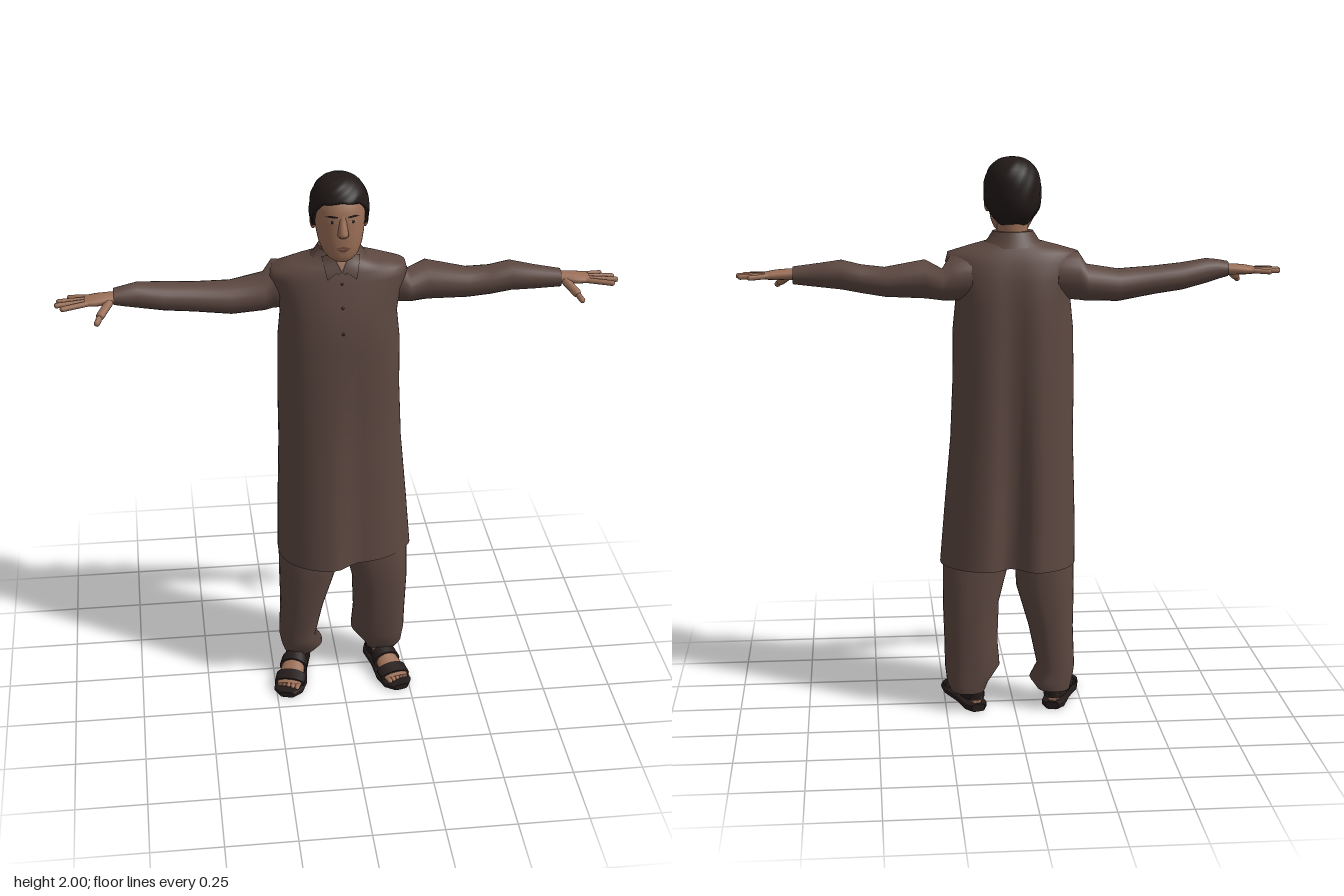
import * as THREE from 'three';

const paint = (name, color, side = THREE.FrontSide) =>
  Object.assign(new THREE.MeshStandardMaterial({ color, side }), { name });
const cloth = paint('brown cloth', 0x5c4740);
const fold = paint('collar cloth', 0x55413a, THREE.DoubleSide);
const seam = paint('dark seam', 0x3b2d29);
const skin = paint('skin', 0x9a6e56, THREE.DoubleSide);
const hairMat = paint('black hair', 0x211918, THREE.DoubleSide);
const leather = paint('dark leather', 0x231b1a);
const lipMat = paint('lips', 0x774d41, THREE.DoubleSide);
const eyeMat = paint('eye white', 0xa08c80, THREE.DoubleSide);

const add = (parent, name, geo, mat) => {
  const m = new THREE.Mesh(geo, mat);
  m.name = name;
  parent.add(m);
  return m;
};

function finish(pos, idx) {
  const g = new THREE.BufferGeometry();
  g.setAttribute('position', new THREE.Float32BufferAttribute(pos, 3));
  g.setIndex(idx);
  g.computeVertexNormals();
  return g;
}

// Loft along an axis; ring = [position, centre1, radius1, centre2, radius2]
function loft(axis, rings, { n = 24, e = 2, s = 1, warp, openStart = false } = {}) {
  const pos = [], idx = [];
  const put = (p, a, b) => {
    const v = axis === 'y' ? [a, p, b] : axis === 'x' ? [p, a, b] : [a, b, p];
    const w = new THREE.Vector3(v[0] * s, v[1], v[2]);
    if (warp) warp(w);
    pos.push(w.x, w.y, w.z);
  };
  const pow = (v) => Math.sign(v) * Math.abs(v) ** (2 / e);
  const putRing = ([p, c1, r1, c2, r2]) => {
    for (let j = 0; j < n; j++) {
      const a = (j / n) * Math.PI * 2;
      put(p, c1 + r1 * pow(Math.cos(a)), c2 + r2 * pow(Math.sin(a)));
    }
  };
  rings.forEach(putRing);
  for (let i = 0; i < rings.length - 1; i++)
    for (let j = 0; j < n; j++) {
      const a = i * n + j, b = i * n + ((j + 1) % n);
      idx.push(a, a + n, b, b, a + n, b + n);
    }
  // end caps have their own corners so the rims stay sharp
  [rings[0], rings[rings.length - 1]].forEach((r, k) => {
    if (openStart && k === 0) return;
    const o = pos.length / 3;
    putRing(r);
    put(r[0], r[1], r[3]);
    for (let j = 0; j < n; j++) {
      const a = o + j, b = o + ((j + 1) % n);
      k ? idx.push(o + n, b, a) : idx.push(o + n, a, b);
    }
  });
  // turn the faces outward, judged by the volume about the first ring's centre
  const [p, c1, , c2] = rings[0];
  const base = new THREE.Vector3(...(axis === 'y' ? [c1, p, c2] : axis === 'x' ? [p * s, c1, c2] : [c1 * s, c2, p]));
  const P = (i) => new THREE.Vector3().fromArray(pos, i * 3).sub(base);
  let vol = 0;
  for (let i = 0; i < idx.length; i += 3) vol += P(idx[i]).dot(P(idx[i + 1]).cross(P(idx[i + 2])));
  if (vol < 0) for (let i = 0; i < idx.length; i += 3) [idx[i], idx[i + 1]] = [idx[i + 1], idx[i]];
  return finish(pos, idx);
}

// Front z of a vertical loft at (x, y)
function frontZ(rings, e, x, y) {
  let i = 0;
  while (i < rings.length - 2 && rings[i + 1][0] < y) i++;
  const t = (y - rings[i][0]) / (rings[i + 1][0] - rings[i][0]);
  const [, cx, rx, cz, rz] = rings[i].map((v, k) => v + (rings[i + 1][k] - v) * t);
  return cz + rz * (1 - Math.min(1, Math.abs((x - cx) / rx)) ** e) ** (1 / e);
}

// Four-cornered patch that hugs the front of a loft
function patch(rings, e, [a, b, c, d], off) {
  const pos = [], idx = [], n = 6;
  for (let i = 0; i <= n; i++)
    for (let j = 0; j <= n; j++) {
      const u = i / n, v = j / n;
      const [x, y] = [0, 1].map((k) => (a[k] * (1 - u) + b[k] * u) * (1 - v) + (d[k] * (1 - u) + c[k] * u) * v);
      pos.push(x, y, frontZ(rings, e, x, y) + off);
      const o = i * (n + 1) + j;
      if (i < n && j < n) idx.push(o, o + n + 1, o + 1, o + 1, o + n + 1, o + n + 2);
    }
  return finish(pos, idx);
}

const span = (y, rx, back, front, cx = 0) => [y, cx, rx, (front + back) / 2, (front - back) / 2];

const torso = [
  span(0.548, 0.245, -0.194, 0.205, 0.02), span(0.75, 0.235, -0.184, 0.192, 0.013), span(1.0, 0.22, -0.172, 0.175, 0.005),
  span(1.2, 0.216, -0.162, 0.166), span(1.4, 0.213, -0.154, 0.16), span(1.5, 0.203, -0.148, 0.15),
  span(1.58, 0.215, -0.137, 0.132), span(1.64, 0.238, -0.115, 0.115), span(1.672, 0.23, -0.1, 0.106),
  span(1.692, 0.16, -0.088, 0.098), span(1.71, 0.09, -0.07, 0.09), span(1.74, 0.07, -0.055, 0.075),
];
const head = [
  span(1.725, 0.026, 0.06, 0.125), span(1.732, 0.043, 0.03, 0.133), span(1.75, 0.061, 0.0, 0.138),
  span(1.78, 0.074, -0.04, 0.141), span(1.82, 0.082, -0.065, 0.141), span(1.86, 0.086, -0.075, 0.137),
  span(1.9, 0.086, -0.08, 0.138), span(1.94, 0.078, -0.07, 0.116), span(1.975, 0.05, -0.03, 0.07),
];

// Cap of hair whose lower edge follows the hairline, sideburns and nape
function hairCap() {
  const line = [[0, 1.933], [0.7, 1.923], [1.1, 1.885], [1.35, 1.83], [1.6, 1.86], [1.9, 1.82], [2.3, 1.77], [3.15, 1.76]];
  const edge = (a) => {
    const i = Math.max(1, line.findIndex((p) => p[0] >= a));
    const [p, q] = [line[i - 1], line[i]];
    return p[1] + ((q[1] - p[1]) * (a - p[0])) / (q[0] - p[0]);
  };
  const pos = [], idx = [], n = 56, rows = 14;
  for (let i = 0; i <= rows + 1; i++)
    for (let j = 0; j < n; j++) {
      const a = (j / n) * Math.PI * 2 - Math.PI;
      const t = Math.min(i, rows) / rows;
      const y = 2 - (2 - edge(Math.abs(a))) * t ** 1.8;
      const r = Math.max(0, 1 - Math.abs((y - 1.875) / 0.125) ** 2.4) ** (1 / 2.4);
      const k = r * (1.01 + 0.015 * Math.sin(a * 9 + i * 1.3)) * (i > rows ? 0.82 : 1);
      pos.push(0.1 * k * Math.sin(a), y, 0.022 + 0.113 * k * Math.cos(a));
      const b = i * n + j, c = i * n + ((j + 1) % n);
      if (i <= rows) idx.push(b, b + n, c, c, b + n, c + n);
    }
  return finish(pos, idx);
}

function rod(parent, name, mat, from, to, r) {
  const a = new THREE.Vector3(...from), b = new THREE.Vector3(...to);
  const m = add(parent, name, new THREE.CapsuleGeometry(r, a.distanceTo(b), 4, 8), mat);
  m.position.copy(a).add(b).multiplyScalar(0.5);
  m.quaternion.setFromUnitVectors(new THREE.Vector3(0, 1, 0), b.sub(a).normalize());
}

function ball(parent, name, mat, p, size) {
  const m = add(parent, name, new THREE.SphereGeometry(1, 14, 10), mat);
  m.position.set(...p);
  m.scale.set(...size);
}

export function createModel() {
  const g = new THREE.Group();
  g.name = 'standing man';

  // Long shirt, open at the hem: a groove down the spine and a shallower left half
  const { clamp, smoothstep } = THREE.MathUtils;
  const folds = (v) => {
    const k = clamp((1.45 - v.y) / 0.9, 0, 1);
    const spine = 0.02 * clamp((1.65 - v.y) / 0.15, 0, 1);
    const dip = Math.exp(-(((v.x - 0.008) / 0.05) ** 2));
    const half = smoothstep(v.x, -0.03, 0.07);
    const push = v.z < 0 ? (spine + 0.05 * k) * dip + k * (0.025 * half - 0.008) : -k * (0.01 * dip + 0.055 * half);
    v.z += push * Math.min(1, Math.abs(v.z) / 0.12);
  };
  add(g, 'long shirt', loft('y', torso, { n: 64, e: 2.3, warp: folds, openStart: true }), cloth);
  for (const y of [1.47, 1.56, 1.64])
    ball(g, 'button', seam, [0, y, frontZ(torso, 2.3, 0, y)], [0.005, 0.005, 0.003]);
  add(g, 'open neck', patch(torso, 2.3, [[-0.026, 1.735], [0, 1.685], [0, 1.685], [0.026, 1.735]], 0.005), skin);
  add(g, 'collar band', loft('y', [span(1.692, 0.12, -0.092, 0.09), span(1.715, 0.09, -0.078, 0.086),
    span(1.745, 0.071, -0.06, 0.068)], { n: 32 }), fold);
  for (const s of [-1, 1]) {
    add(g, 'collar shadow', patch(torso, 2.3, [[s * 0.028, 1.735], [s * 0.001, 1.68], [s * 0.012, 1.67], [s * 0.04, 1.72]], 0.006), fold);
    add(g, 'collar flap', patch(torso, 2.3, [[s * 0.032, 1.735], [s * 0.008, 1.685], [s * 0.05, 1.655], [s * 0.066, 1.725]], 0.007), fold);
  }

  // Head and face
  add(g, 'neck', loft('y', [span(1.66, 0.058, -0.05, 0.065), span(1.74, 0.054, -0.05, 0.07), span(1.79, 0.055, -0.05, 0.08)]), skin);
  add(g, 'head', loft('y', head, { n: 40, e: 2.2 }), skin);
  add(g, 'nose', loft('y', [[1.895, 0, 0.01, 0.128, 0.009], [1.858, 0, 0.014, 0.135, 0.014],
    [1.835, 0, 0.018, 0.141, 0.022], [1.825, 0, 0.019, 0.139, 0.022], [1.818, 0, 0.013, 0.137, 0.014]], { n: 16 }), skin);
  const onFace = (name, mat, pts, off) => add(g, name, patch(head, 2.2, pts, off), mat);
  onFace('upper lip', lipMat, [[-0.027, 1.779], [0, 1.777], [0.027, 1.779], [0, 1.788]], 0.003);
  onFace('lower lip', lipMat, [[-0.023, 1.777], [0, 1.766], [0.023, 1.777], [0, 1.777]], 0.004);
  for (const s of [-1, 1]) {
    onFace('eye', eyeMat, [[s * 0.021, 1.869], [s * 0.035, 1.865], [s * 0.049, 1.87], [s * 0.034, 1.876]], 0.002);
    ball(g, 'iris', hairMat, [s * 0.034, 1.87, frontZ(head, 2.2, 0.034, 1.87)], [0.006, 0.005, 0.004]);
    onFace('eyebrow', hairMat, [[s * 0.016, 1.886], [s * 0.058, 1.886], [s * 0.042, 1.894], [s * 0.018, 1.892]], 0.003);
    ball(g, 'ear', skin, [s * 0.088, 1.842, 0.022], [0.012, 0.032, 0.02]);
  }
  add(g, 'hair', hairCap(), hairMat);

  // Sleeves
  const sleeves = {
    '-1': [[0.15, 1.59, 0.08, -0.03, 0.08], [0.225, 1.59, 0.086, -0.037, 0.08], [0.255, 1.565, 0.065, -0.034, 0.078],
      [0.37, 1.553, 0.057, -0.022, 0.07], [0.5, 1.567, 0.05, -0.008, 0.06], [0.6, 1.578, 0.048, 0, 0.06],
      [0.69, 1.594, 0.044, 0.017, 0.046], [0.73, 1.597, 0.036, 0.027, 0.04], [0.77, 1.598, 0.027, 0.032, 0.036]],
    '1': [[0.15, 1.59, 0.08, -0.03, 0.08], [0.22, 1.587, 0.08, -0.037, 0.08], [0.25, 1.563, 0.055, -0.034, 0.078],
      [0.31, 1.583, 0.068, -0.03, 0.076], [0.45, 1.572, 0.052, -0.015, 0.062], [0.53, 1.582, 0.05, -0.003, 0.058],
      [0.6, 1.597, 0.052, 0.002, 0.057], [0.68, 1.594, 0.042, 0.018, 0.045], [0.77, 1.592, 0.031, 0.032, 0.036]],
  };
  // Trouser legs
  const legs = {
    '-1': [[0.07, -0.145, 0.06, -0.045, 0.065], [0.105, -0.137, 0.078, -0.035, 0.08], [0.15, -0.155, 0.068, -0.025, 0.085],
      [0.3, -0.137, 0.081, -0.015, 0.1], [0.45, -0.117, 0.105, -0.003, 0.115], [0.58, -0.113, 0.108, 0, 0.118], [0.75, -0.1, 0.095, 0, 0.1]],
    '1': [[0.07, 0.17, 0.062, -0.045, 0.065], [0.1, 0.17, 0.075, -0.035, 0.08], [0.16, 0.152, 0.1, -0.025, 0.088],
      [0.25, 0.156, 0.097, -0.018, 0.097], [0.4, 0.155, 0.102, -0.008, 0.108], [0.55, 0.135, 0.12, -0.004, 0.112], [0.75, 0.1, 0.1, 0, 0.09]],
  };
  for (const s of [-1, 1]) {
    add(g, 'sleeve', loft('x', sleeves[s], { s }), cloth);
    add(g, 'trouser leg', loft('y', legs[s], { n: 32, e: 2.3 }), cloth);

    // Hand with spread fingers
    const hand = new THREE.Group();
    hand.name = 'hand';
    g.add(hand);
    add(hand, 'palm', loft('x', [[0.74, 1.596, 0.021, 0.034, 0.026], [0.79, 1.595, 0.02, 0.038, 0.031],
      [0.83, 1.593, 0.018, 0.042, 0.04], [0.868, 1.591, 0.013, 0.041, 0.036]], { n: 16, s }), skin);
    [[0.015, 0.917, 0.002], [0.032, 0.953, 0.032], [0.05, 0.96, 0.064], [0.067, 0.94, 0.096]].forEach(([z0, x1, z1]) =>
      rod(hand, 'finger', skin, [s * 0.85, 1.592, z0], [s * x1, 1.588, z1], 0.0095));
    rod(hand, 'thumb', skin, [s * 0.785, 1.588, 0.06], [s * 0.815, 1.562, 0.105], 0.015);
    rod(hand, 'thumb tip', skin, [s * 0.815, 1.562, 0.105], [s * 0.828, 1.547, 0.135], 0.0105);

    // Sandalled foot, turned outward
    const foot = new THREE.Group();
    foot.name = 'foot';
    foot.position.set(s * 0.175, 0, 0.045);
    foot.rotation.y = s * 0.27;
    g.add(foot);
    add(foot, 'sole', loft('z', [[-0.15, 0, 0.024, 0.014, 0.014], [-0.12, 0, 0.042, 0.014, 0.014], [-0.03, 0, 0.045, 0.013, 0.013],
      [0.06, 0, 0.06, 0.012, 0.012], [0.12, 0, 0.054, 0.012, 0.012], [0.154, 0, 0.026, 0.013, 0.011]], { e: 5 }), leather);
    add(foot, 'bare foot', loft('z', [[-0.138, 0, 0.018, 0.045, 0.025], [-0.1, 0, 0.034, 0.06, 0.045], [-0.04, 0, 0.036, 0.06, 0.045],
      [0.02, 0, 0.043, 0.045, 0.032], [0.08, 0, 0.049, 0.034, 0.018], [0.115, 0, 0.044, 0.03, 0.01]]), skin);
    for (let i = 0; i < 5; i++)
      ball(foot, 'toe', skin, [s * (-0.034 + i * 0.017), 0.031, 0.12 - i * 0.006], [0.01, 0.009, 0.018]);
    add(foot, 'toe strap', loft('z', [[0.055, 0, 0.057, 0.035, 0.028], [0.1, 0, 0.056, 0.03, 0.021]]), leather);
    add(foot, 'instep strap', loft('z', [[-0.02, 0, 0.049, 0.052, 0.045], [0.018, 0, 0.052, 0.046, 0.037]]), leather);
    add(foot, 'heel strap', loft('y', [[0.04, 0, 0.043, -0.075, 0.069], [0.068, 0, 0.043, -0.075, 0.069]]), leather);
  }
  return g;
}
